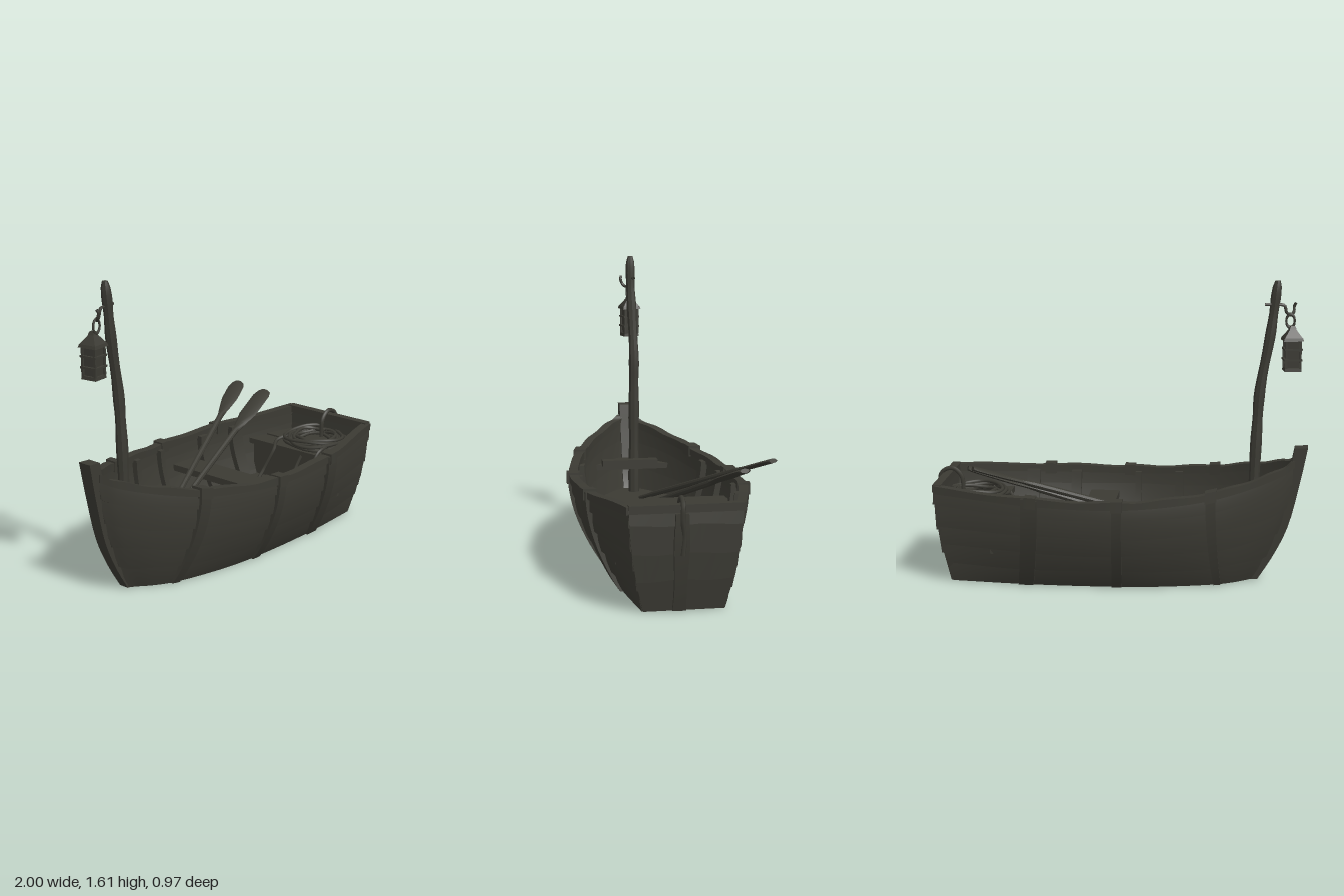
import * as THREE from 'three';
import { toCreasedNormals } from 'three/addons/utils/BufferGeometryUtils.js';

const V = (x, y, z) => new THREE.Vector3(x, y, z);
const wood = new THREE.MeshStandardMaterial({ color: 0x3b3a33, side: THREE.DoubleSide });
wood.name = 'weatheredDarkWood';
const MID = 0.03; // keel line in z

// Hull guides: x, height, half width, from bow to stern
const sheer = new THREE.CatmullRomCurve3([
  V(-0.94, 0.66, 0.02), V(-0.88, 0.63, 0.09), V(-0.72, 0.585, 0.21), V(-0.5, 0.54, 0.32),
  V(-0.2, 0.51, 0.4), V(0.05, 0.502, 0.428), V(0.43, 0.508, 0.405), V(0.96, 0.53, 0.275)]);
const chine = new THREE.CatmullRomCurve3([
  V(-0.735, 0, 0.01), V(-0.71, 0, 0.025), V(-0.64, 0, 0.08), V(-0.54, 0, 0.135),
  V(-0.2, 0, 0.215), V(0.07, 0, 0.235), V(0.48, 0, 0.23), V(0.88, 0, 0.195)]);

// Point on the hull: u bow to stern, v bottom to rail, s side, off outward
function hull(u, v, s = 1, off = 0, dy = 0) {
  const a = chine.getPoint(u), b = sheer.getPoint(u);
  const f = Math.pow(Math.sin(Math.min(v, 1) * Math.PI / 2), 0.9);
  const w = Math.max(0.003, a.z + (b.z - a.z) * f + off);
  return V(a.x + (b.x - a.x) * f, b.y * v + dy, MID + s * w);
}
function solve(x, at) {
  let lo = 0, hi = 1;
  for (let i = 0; i < 30; i++) {
    const m = (lo + hi) / 2;
    if (at(m).x < x) lo = m; else hi = m;
  }
  return lo;
}
const uAtRail = x => solve(x, u => sheer.getPoint(u));
const atHeight = (x, y) => {
  const p = u => hull(u, Math.min(1, y / sheer.getPoint(u).y));
  return p(solve(x, p)).z - MID;
};
const range = (n, fn) => Array.from({ length: n + 1 }, (_, i) => fn(i / n, i));

export function createModel() {
  const model = new THREE.Group();
  model.name = 'rowboat';

  function add(name, geo, parent = model) {
    const m = new THREE.Mesh(geo, wood);
    m.name = name;
    parent.add(m);
    return m;
  }
  // Skin a row of closed rings and cap both ends
  function loft(name, rings, parent) {
    const n = rings[0].length, pos = [], idx = [];
    rings.forEach(r => r.forEach(p => pos.push(p.x, p.y, p.z)));
    for (let i = 0; i < rings.length - 1; i++)
      for (let j = 0; j < n; j++) {
        const a = i * n + j, b = i * n + (j + 1) % n;
        idx.push(a, b, a + n, b, b + n, a + n);
      }
    const e = (rings.length - 1) * n;
    for (let j = 1; j < n - 1; j++) idx.push(0, j + 1, j, e, e + j, e + j + 1);
    const g = new THREE.BufferGeometry();
    g.setAttribute('position', new THREE.Float32BufferAttribute(pos, 3));
    g.setIndex(idx);
    return add(name, toCreasedNormals(g, 0.6), parent);
  }
  function box(name, w, h, d, x, y, z, parent) {
    const m = add(name, new THREE.BoxGeometry(w, h, d), parent);
    m.position.set(x, y, z);
    return m;
  }
  const tube = (name, pts, r, seg = 40, parent = model) =>
    add(name, new THREE.TubeGeometry(new THREE.CatmullRomCurve3(pts), seg, r, 6), parent);

  // Lapped side planks
  const seams = [0, 0.2, 0.4, 0.6, 0.81, 1];
  const wave = (u, k) => (k === 0 || k === 5 ? 0 : 0.008 * Math.sin(u * 17 + k * 2.3));
  for (const s of [1, -1])
    for (let k = 0; k < 5; k++)
      loft('sidePlank', range(44, u => {
        const a = seams[k] + wave(u, k), b = seams[k + 1] + wave(u, k + 1);
        const m = (a + b) / 2;
        return [hull(u, a, s, 0.012), hull(u, m, s, 0.008), hull(u, b, s, -0.002),
          hull(u, b, s, -0.022), hull(u, m, s, -0.022), hull(u, a, s, -0.022)];
      }));

  // Flat bottom
  const outline = [...range(30, u => hull(u, 0, 1, 0.01)), ...range(30, u => hull(1 - u, 0, -1, 0.01))];
  const bottom = new THREE.ShapeGeometry(new THREE.Shape(outline.map(p => new THREE.Vector2(p.x, p.z))));
  add('bottomBoard', bottom.rotateX(Math.PI / 2)).position.y = 0.001;

  // Gunwales, with clamps where the outer bands fold over
  const rail = (name, s, u0, u1, inn, out, lo, hi, n) => loft(name, range(n, t => {
    const u = u0 + (u1 - u0) * t, w = n > 9 ? 0.004 * Math.sin(u * 40 + s) : 0;
    return [hull(u, 1, s, inn, lo), hull(u, 1, s, out, lo), hull(u, 1, s, out, hi + w), hull(u, 1, s, inn, hi + w)];
  }));
  for (const s of [1, -1]) {
    rail('gunwale', s, 0, 1, -0.03, 0.018, -0.035, 0.004, 50);
    for (const x of [-0.5, -0.02, 0.43]) {
      const u = uAtRail(x), d = 0.014;
      rail('bandClamp', s, uAtRail(x - 0.03), uAtRail(x + 0.03), -0.036, 0.032, -0.045, 0.014, 3);
      loft('outerBand', range(12, v => [hull(u - d, v, s, -0.005), hull(u - d, v, s, 0.026),
        hull(u + d, v, s, 0.026), hull(u + d, v, s, -0.005)]));
    }
    // Inner ribs
    for (const x of [-0.3, -0.07, 0.28, 0.52]) {
      const u = uAtRail(x), d = 0.01;
      loft('innerRib', range(8, t => {
        const v = 0.3 + 0.66 * t;
        return [hull(u - d, v, s, -0.055), hull(u - d, v, s, -0.015),
          hull(u + d, v, s, -0.015), hull(u + d, v, s, -0.055)];
      }));
    }
  }

  // Stem post
  const stem = new THREE.CatmullRomCurve3([V(-0.745, 0, 0), V(-0.825, 0.13, 0), V(-0.9, 0.29, 0),
    V(-0.96, 0.53, 0), V(-1, 0.73, 0)]);
  loft('stemPost', range(14, t => {
    const p = stem.getPoint(t), h = 0.028 + 0.01 * t;
    return [V(p.x, p.y, 0.022 - h), V(p.x, p.y, 0.022 + h),
      V(p.x + 0.068, p.y - 0.003, 0.022 + h), V(p.x + 0.068, p.y - 0.003, 0.022 - h)];
  }));

  // Transom planks, top rail and stern post
  const tv = [0, 0.3, 0.56, 0.83, 1];
  const sternPoint = (v, t, dx) => {
    const p = hull(1, v, 1, 0.006);
    return V(p.x + dx, p.y, MID + (p.z - MID) * t);
  };
  for (let k = 0; k < 4; k++)
    loft('transomPlank', range(8, q => {
      const t = q * 2 - 1, w = k && 0.01 * Math.sin(t * 5 + k), w2 = k < 3 ? 0.01 * Math.sin(t * 5 + k + 1) : 0;
      return [sternPoint(tv[k] + w, t, -0.025), sternPoint(tv[k] + w, t, 0.012),
        sternPoint(tv[k + 1] + w2, t, 0.002), sternPoint(tv[k + 1] + w2, t, -0.025)];
    }));
  box('transomRail', 0.045, 0.04, 0.56, 0.948, 0.52, MID);
  loft('sternPost', range(8, t => {
    const p = sternPoint(t * 0.94, 0, 0), h = 0.034 - 0.004 * Math.sin(t * 7);
    return [V(p.x - 0.01, p.y, 0.055 - h), V(p.x + 0.026, p.y, 0.055 - h),
      V(p.x + 0.026, p.y, 0.055 + h), V(p.x - 0.01, p.y, 0.055 + h)];
  }));

  // Boards trimmed to the inside of the hull
  const board = (name, x0, x1, y, t, z0 = -1, z1 = 1) => loft(name, range(10, q => {
    const x = x0 + (x1 - x0) * q, w = Math.max(0.004, atHeight(x, y - t) - 0.018);
    const a = MID + Math.max(-w, Math.min(w, z0)), b = MID + Math.max(-w, Math.min(w, z1));
    return [V(x, y - t, a), V(x, y - t, b), V(x, y, b), V(x, y, a)];
  }));
  const cuts = [-0.5, -0.21, -0.04, 0.12, 0.26, 0.5];
  for (let i = 0; i < 5; i++) board('floorBoard', -0.5, 0.66, 0.19 + 0.004 * (i % 2), 0.025, cuts[i] + 0.003, cuts[i + 1] - 0.003);
  board('bowPlatform', -0.8, -0.47, 0.25, 0.06);
  board('bowDeck', -0.89, -0.66, 0.42, 0.03);
  box('bowBeam', 0.055, 0.035, 0.32, -0.655, 0.432, 0.045);
  board('middleThwart', 0.04, 0.2, 0.37, 0.035);
  board('sternSeatFront', 0.63, 0.745, 0.395, 0.03);
  board('sternSeatBack', 0.752, 0.935, 0.4, 0.03);
  box('sternSeatRiser', 0.025, 0.2, 0.6, 0.65, 0.28, MID);

  // Crooked mast
  const mast = new THREE.CatmullRomCurve3([V(-0.71, 0.25, 0.012), V(-0.72, 0.58, 0.01), V(-0.73, 0.85, 0.008),
    V(-0.742, 1.04, 0.005), V(-0.788, 1.31, 0.01), V(-0.81, 1.48, 0.014), V(-0.824, 1.61, 0.012)]);
  loft('mast', range(24, t => {
    const p = mast.getPoint(t), r = 0.031 - 0.007 * t + 0.002 * Math.sin(t * 30) - (t > 0.97 ? 0.008 : 0);
    return range(7, (q, j) => V(p.x + r * Math.cos(j * Math.PI / 4), p.y, p.z + r * Math.sin(j * Math.PI / 4)));
  }));

  // Lantern hook and link
  tube('lanternHook', [V(-0.76, 1.487, 0), V(-0.82, 1.485, 0.01), V(-0.86, 1.48, 0.015), V(-0.872, 1.445, 0.015),
    V(-0.892, 1.43, 0.025), V(-0.91, 1.445, 0.045), V(-0.912, 1.475, 0.055), V(-0.92, 1.49, 0.05)], 0.008);
  const link = add('lanternLink', new THREE.TorusGeometry(0.022, 0.006, 6, 14));
  link.scale.y = 1.6;
  link.position.set(-0.893, 1.4, 0.018);

  // Square lantern
  const lantern = new THREE.Group();
  lantern.name = 'lantern';
  lantern.position.set(-0.905, 1.14, 0.005);
  lantern.rotation.y = 0.15;
  model.add(lantern);
  const tier = (name, wTop, wBottom, h, y) => {
    const g = new THREE.CylinderGeometry(wTop * Math.SQRT1_2, wBottom * Math.SQRT1_2, h, 4).rotateY(Math.PI / 4);
    add(name, toCreasedNormals(g, 0.5), lantern).position.y = y;
  };
  tier('lanternBase', 0.084, 0.088, 0.018, 0.009);
  tier('lanternPane', 0.074, 0.064, 0.15, 0.09);
  for (const y of [0.06, 0.115]) tier('lanternBand', 0.094, 0.094, 0.01, y);
  tier('lanternEave', 0.096, 0.106, 0.016, 0.168);
  tier('lanternRoof', 0.03, 0.094, 0.045, 0.198);
  tier('lanternCap', 0.022, 0.036, 0.016, 0.228);
  for (const x of [-1, 1]) for (const z of [-1, 1])
    box('lanternPost', 0.012, 0.15, 0.012, x * 0.037, 0.09, z * 0.037, lantern);

  // Oars: round shaft flattening into a blade
  function oar(from, to, bladeStart, halfWidth) {
    const dir = to.clone().sub(from), side = V(-dir.z, 0, dir.x).normalize();
    const up = side.clone().cross(dir).normalize();
    const steps = [0, 0.08, 0.1, 0.4, bladeStart, bladeStart + 0.06, bladeStart + 0.13, 0.96, 0.99, 1];
    const wide = [0.011, 0.011, 0.014, 0.016, 0.017, 0.032, halfWidth, halfWidth, halfWidth * 0.8, halfWidth * 0.5];
    loft('oar', steps.map((t, i) => range(7, (q, j) => {
      const a = j * Math.PI / 4, thick = i < 5 ? wide[i] : 0.012;
      return from.clone().addScaledVector(dir, t)
        .addScaledVector(side, Math.cos(a) * wide[i]).addScaledVector(up, Math.sin(a) * thick);
    })));
  }
  oar(V(-0.44, 0.27, 0.02), V(0.71, 0.685, -0.455), 0.74, 0.046);
  oar(V(-0.41, 0.23, 0), V(0.765, 0.65, -0.3), 0.68, 0.05);

  // Rope coil on the stern seat, with loose ends and a loop over the transom
  tube('ropeCoil', range(110, (t, i) => {
    const a = i * 0.4, r = 0.135 + 0.035 * Math.sin(i * 0.155) + 0.008 * Math.sin(i * 1.3);
    return V(0.785 + r * Math.cos(a), 0.413 + 0.045 * t + 0.006 * Math.sin(i * 0.9), 0.06 + r * Math.sin(a));
  }), 0.01, 330);
  tube('ropeEnd', [V(0.76, 0.43, -0.1), V(0.66, 0.412, -0.12), V(0.6, 0.38, -0.09), V(0.54, 0.26, -0.12),
    V(0.48, 0.21, -0.11), V(0.47, 0.21, -0.07), V(0.53, 0.21, -0.06)], 0.01);
  tube('ropeEnd', [V(0.72, 0.43, 0.2), V(0.64, 0.412, 0.2), V(0.58, 0.3, 0.18), V(0.53, 0.21, 0.14),
    V(0.54, 0.21, 0.09), V(0.6, 0.3, 0.07), V(0.66, 0.412, 0.09)], 0.01);
  tube('ropeOverStern', [V(0.86, 0.42, 0.05), V(0.87, 0.52, 0.05), V(0.91, 0.562, 0.05), V(0.955, 0.56, 0.05),
    V(0.985, 0.53, 0.052), V(0.988, 0.47, 0.055), V(0.975, 0.38, 0.045), V(0.972, 0.29, 0.05)], 0.012);

  return model;
}
